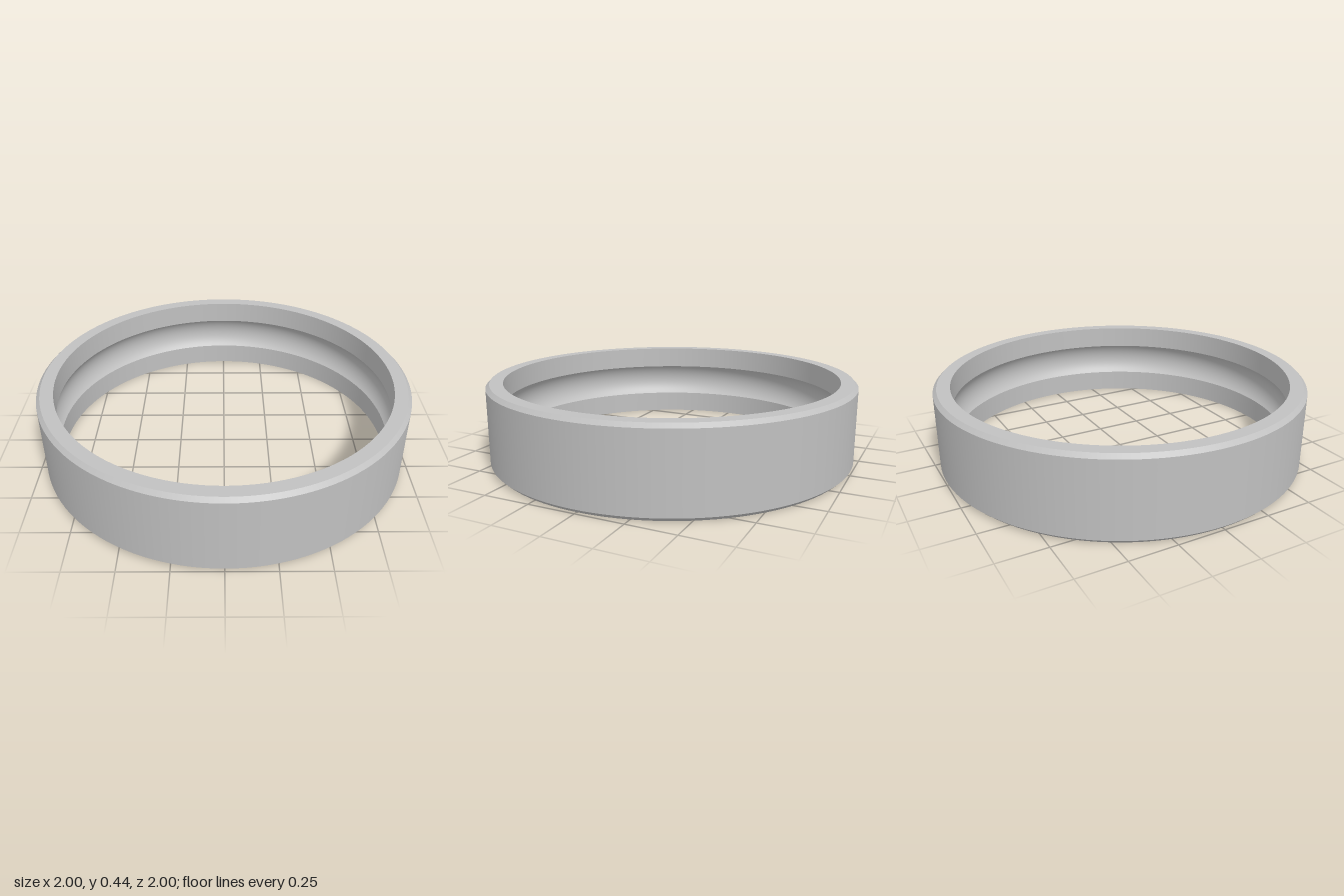
import * as THREE from 'three';

export function createModel() {
  const model = new THREE.Group();
  model.name = 'bearingOuterRing';
  const steel = new THREE.MeshStandardMaterial({ color: 0xc0c0c0 });
  steel.name = 'steel grey';

  const H = 0.436, R = 1, C = 0.02, bore = 0.91;
  const mid = H / 2, half = 0.094;           // groove centre and half width
  const pitch = 0.8125;                      // centre radius of the groove arc
  const arcR = Math.hypot(bore - pitch, half);
  const edge = Math.atan2(half, bore - pitch);

  // each band is its own lathe, so the edges between bands stay sharp
  const band = (name, pts) => {
    const geo = new THREE.LatheGeometry(pts.map(([r, y]) => new THREE.Vector2(r, y)), 128);
    const mesh = new THREE.Mesh(geo, steel);
    mesh.name = name;
    model.add(mesh);
  };

  // profile runs up the outside, across the top and down the bore
  band('bottomFace', [[bore, 0], [R - C, 0]]);
  band('bottomChamfer', [[R - C, 0], [R, C]]);
  band('outerWall', [[R, C], [R, H - C]]);
  band('topChamfer', [[R, H - C], [R - C, H]]);
  band('topFace', [[R - C, H], [bore, H]]);
  band('upperBore', [[bore, H], [bore, mid + half]]);

  // rounded ball groove
  const groove = [];
  for (let i = 0; i <= 20; i++) {
    const a = edge * (1 - i / 10);
    groove.push([pitch + arcR * Math.cos(a), mid + arcR * Math.sin(a)]);
  }
  band('ballGroove', groove);
  band('lowerBore', [[bore, mid - half], [bore, 0]]);

  return model;
}
